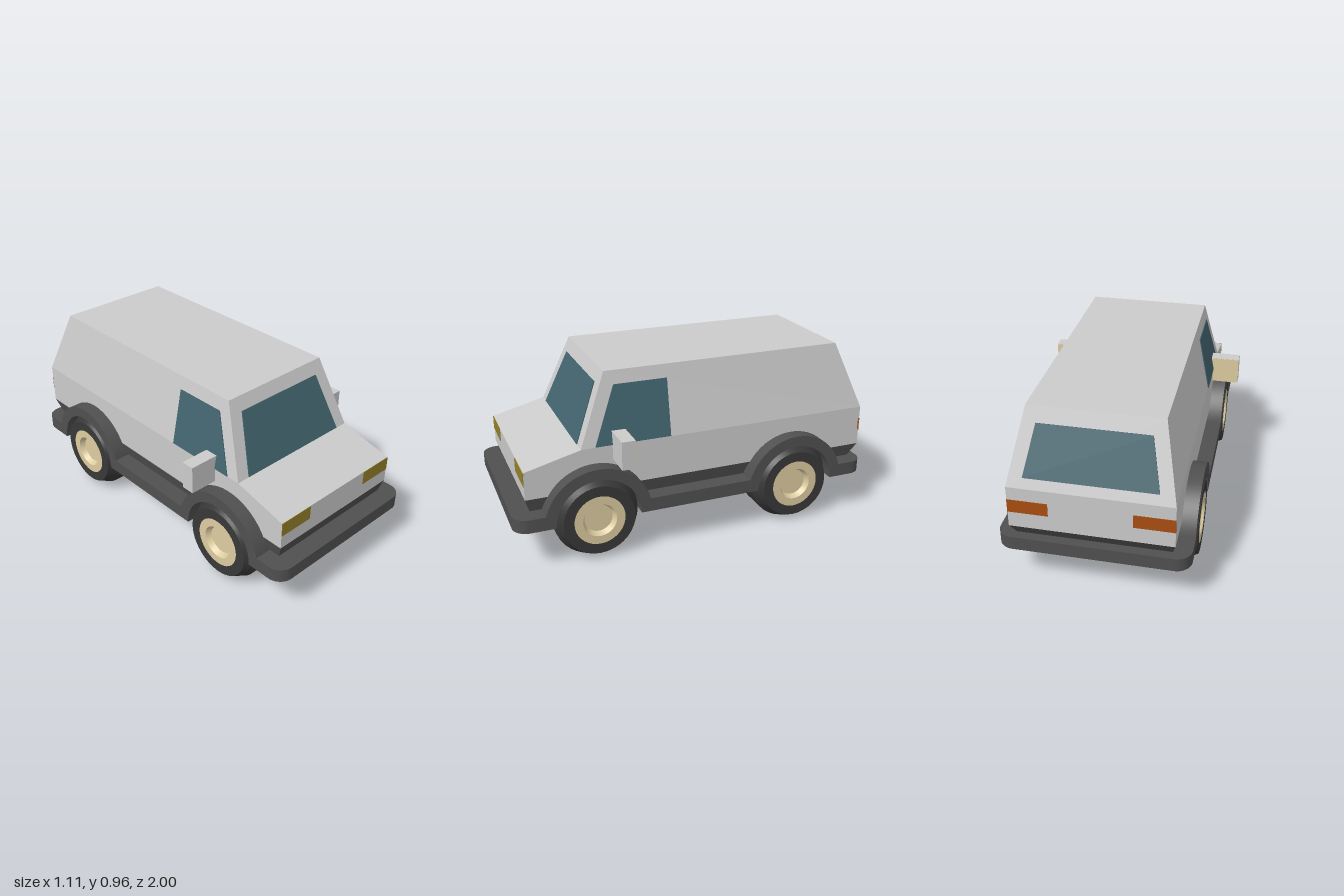
import * as THREE from 'three';
import { toCreasedNormals } from 'three/addons/utils/BufferGeometryUtils.js';
import { ConvexGeometry } from 'three/addons/geometries/ConvexGeometry.js';

const mat = (color) => new THREE.MeshStandardMaterial({ color });
const paint = mat(0xcccccc), trim = mat(0x505050), rubber = mat(0x383838), glass = mat(0x42646e);
const lamp = mat(0x94802a), tail = mat(0xa84e10), cream = mat(0xdccca0);

const WHEEL_Z = [0.565, -0.56], HUB_Y = 0.225, R = 0.225;
const BELT = 0.595, ROOF = 0.965;

export function createModel() {
  const van = new THREE.Group();
  van.name = 'van';

  const add = (name, geometry, material, parent = van) => {
    const mesh = new THREE.Mesh(geometry, material);
    mesh.name = name;
    parent.add(mesh);
    return mesh;
  };
  const box = (name, size, pos, material) =>
    add(name, new THREE.BoxGeometry(...size), material).position.set(...pos);

  // Four-sided block between two levels, each given as [y, halfWidth, zFront, zBack]
  const frustum = (...levels) => new ConvexGeometry(levels.flatMap(([y, w, f, b]) =>
    [[w, f], [-w, f], [-w, b], [w, b]].map(([x, z]) => new THREE.Vector3(x, y, z))));

  // Thin pane: the corners pushed a little to both sides along a direction
  const pane = (name, corners, dir) => {
    const d = new THREE.Vector3(...dir).normalize().multiplyScalar(0.005);
    const pts = corners.flatMap((c) => {
      const p = new THREE.Vector3(...c);
      return [p.clone().add(d), p.clone().sub(d)];
    });
    add(name, new ConvexGeometry(pts), glass);
  };

  // Lower body with sloping bonnet, drawn as a side profile
  const side = new THREE.Shape(
    [[0.925, 0.37], [0.925, 0.52], [0.63, BELT], [-1, BELT], [-1, 0.37]].map(([z, y]) => new THREE.Vector2(-z, y)));
  const lower = new THREE.ExtrudeGeometry(side, { depth: 0.81, bevelEnabled: false });
  lower.translate(0, 0, -0.405).rotateY(Math.PI / 2);
  add('lowerBody', lower, paint);

  // Cabin and the dark tapered skirt under the body
  add('cabin', frustum([BELT, 0.405, 0.63, -1], [ROOF, 0.33, 0.48, -0.85]), paint);
  add('skirt', frustum([0.29, 0.385, 0.9, -0.945], [0.37, 0.405, 0.925, -1]), trim);

  // Chassis plate forming both bumpers and sills, notched for the wheels
  const plate = new THREE.Shape();
  const c = 0.4, e = 0.92, r = 0.08, q = Math.PI / 2;
  const notch = (s, z) => [[0.48, -1], [0.4, -1], [0.4, 1], [0.48, 1]]
    .forEach(([x, k]) => plate.lineTo(s * x, -z + s * k * R));
  plate.moveTo(-c, -1);
  plate.absarc(c, -e, r, -q, 0);
  WHEEL_Z.forEach((z) => notch(1, z));
  plate.absarc(c, e, r, 0, q);
  plate.absarc(-c, e, r, q, 2 * q);
  [...WHEEL_Z].reverse().forEach((z) => notch(-1, z));
  plate.absarc(-c, -e, r, 2 * q, 3 * q);
  const plateGeo = new THREE.ExtrudeGeometry(plate, { depth: 0.073, bevelEnabled: false, curveSegments: 8 });
  plateGeo.rotateX(-q).translate(0, 0.225, 0);
  add('bumperPlate', toCreasedNormals(plateGeo, 0.5), trim);

  // Windows
  const frontZ = (y) => 0.63 - 0.15 * (y - BELT) / (ROOF - BELT);
  const backZ = (y) => -1 + 0.15 * (y - BELT) / (ROOF - BELT);
  const sideX = (y) => 0.405 - 0.075 * (y - BELT) / (ROOF - BELT);
  const endPane = (name, y0, w0, y1, w1, zAt, dir) => pane(name,
    [[w0, y0, zAt(y0)], [-w0, y0, zAt(y0)], [-w1, y1, zAt(y1)], [w1, y1, zAt(y1)]], dir);
  endPane('windscreen', 0.597, 0.333, 0.895, 0.27, frontZ, [0, 0.15, 0.37]);
  endPane('rearWindow', 0.645, 0.325, 0.89, 0.275, backZ, [0, 0.15, -0.37]);

  // Arch and wheel geometry
  const ring = new THREE.Shape();
  ring.absarc(0, 0, 0.285, 0, Math.PI);
  ring.absarc(0, 0, R, Math.PI, 0, true);
  const archGeo = new THREE.ExtrudeGeometry(ring, { depth: 0.1, bevelEnabled: false, curveSegments: 20 });
  const arch = toCreasedNormals(archGeo.rotateY(q).translate(0.38, 0, 0), 0.5);
  const turned = (profile) => toCreasedNormals(
    new THREE.LatheGeometry(profile.map((p) => new THREE.Vector2(...p)), 36).rotateZ(-q), 0.4);
  const tyre = turned([[0, 0.26], [R, 0.26], [R, 0.41], [0.19, 0.48], [0.135, 0.48]]);
  const rim = turned([[0.135, 0.48], [0.09, 0.48], [0.075, 0.45], [0.06, 0.45], [0, 0.45]]);

  for (const s of [1, -1]) {
    const label = s > 0 ? 'left' : 'right';
    pane(label + 'Window', [[0.555, 0.597], [0.15, 0.597], [0.15, 0.895], [0.435, 0.895]]
      .map(([z, y]) => [s * sideX(y), y, z]), [s * 0.37, 0.075, 0]);

    // Lamps
    box(label + 'Headlight', [0.2, 0.075, 0.01], [s * 0.305, 0.4825, 0.923], lamp);
    box(label + 'TailLight', [0.2, 0.07, 0.01], [s * 0.305, 0.49, -0.998], tail);

    // Mirrors with a pale glass facing backwards
    box(label + 'Mirror', [0.165, 0.15, 0.07], [s * 0.4725, 0.595, 0.43], paint);
    box(label + 'MirrorGlass', [0.163, 0.148, 0.004], [s * 0.4725, 0.595, 0.394], cream);

    WHEEL_Z.forEach((z, i) => {
      const corner = new THREE.Group();
      corner.name = label + (i ? 'RearWheel' : 'FrontWheel');
      corner.position.set(0, HUB_Y, z);
      corner.rotation.y = s > 0 ? 0 : Math.PI;
      add('wheelArch', arch, trim, corner);
      add('tyre', tyre, rubber, corner);
      add('rim', rim, cream, corner);
      van.add(corner);
    });
  }
  return van;
}
